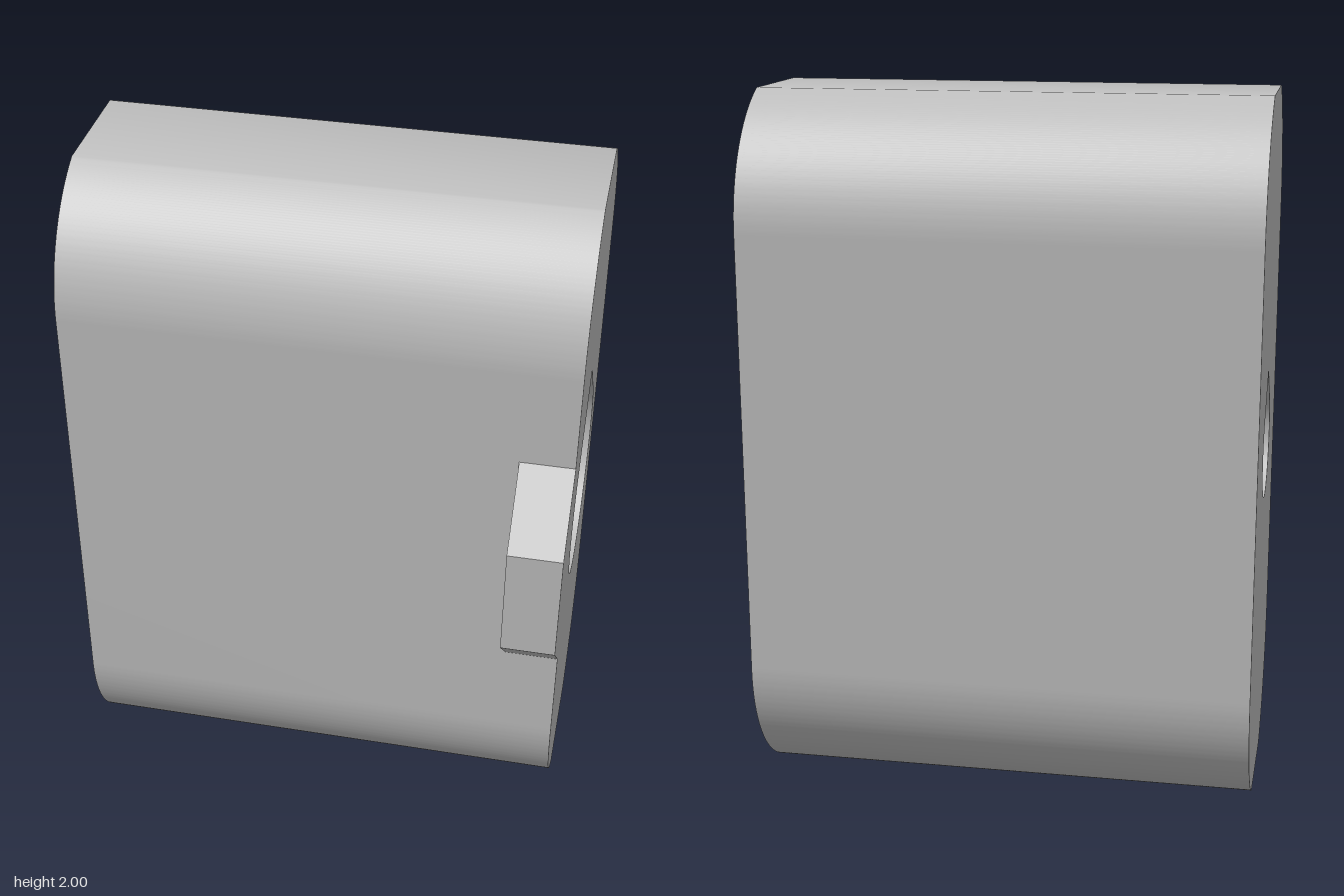
import * as THREE from 'three';
import { toCreasedNormals } from 'three/addons/utils/BufferGeometryUtils.js';

const LEFT = 0.712, RIGHT = -0.712, STEP = -0.15, TAB = 0.56; // stations along x
const C = 0.09, HALF = 0.41, FLAT = 0.17;                     // cross-section, drawn with u = -z

const rise = Math.sqrt(HALF * HALF - FLAT * FLAT);
const tilt = Math.acos(FLAT / HALF);

// Counter-clockwise slab outline with truncated round ends, optionally with the tab
function outline(withTab) {
  const s = new THREE.Shape();
  s.absarc(C, rise, HALF, -tilt, 0, false);
  s.absarc(C, 2 - rise, HALF, 0, tilt, false);
  s.absarc(C, 2 - rise, HALF, Math.PI - tilt, Math.PI, false);
  if (withTab) tabPoints().forEach(p => s.lineTo(p.x, p.y));
  s.absarc(C, rise, HALF, Math.PI, Math.PI + tilt, false);
  s.closePath();
  return s;
}

function tabPoints() {
  return [[-0.32, 1.347], [-0.5, 1.168], [-0.5, 0.836], [-0.32, 0.657]]
    .map(([u, y]) => new THREE.Vector2(u, y));
}

// Clockwise teardrop with a 45 degree roof
function teardrop(r) {
  const s = new THREE.Shape();
  s.absarc(C, 1, r, Math.PI / 4, 3 * Math.PI / 4, true);
  s.lineTo(C, 1 + r * Math.SQRT2);
  s.closePath();
  return s;
}

// Open wall following a line of points between two stations
function wall(points, from, to) {
  const pos = [];
  for (let i = 0; i < points.length - 1; i++) {
    const a = points[i], b = points[i + 1];
    if (a.distanceTo(b) < 1e-6) continue;
    pos.push(a.x, a.y, from, b.x, b.y, from, b.x, b.y, to);
    pos.push(a.x, a.y, from, b.x, b.y, to, a.x, a.y, to);
  }
  const g = new THREE.BufferGeometry();
  g.setAttribute('position', new THREE.Float32BufferAttribute(pos, 3));
  return toCreasedNormals(g, Math.PI / 7);
}

// Flat face at a station, facing +1 or -1 along the length
function face(shape, at, dir, hole) {
  if (hole) shape.holes.push(hole);
  const g = new THREE.ShapeGeometry(shape, 32);
  g.translate(0, 0, at);
  if (dir < 0) {
    g.index.array.reverse();
    const n = g.attributes.normal;
    for (let i = 0; i < n.count; i++) n.setZ(i, -1);
  }
  return g;
}

export function createModel() {
  const grey = new THREE.MeshStandardMaterial({ color: 0xc0c0c0 });
  grey.name = 'grey';
  const group = new THREE.Group();
  group.name = 'slidingBlock';
  const add = (name, geometry) => {
    geometry.rotateY(Math.PI / 2);
    const mesh = new THREE.Mesh(geometry, grey);
    mesh.name = name;
    group.add(mesh);
  };
  const big = 0.278, small = 0.153;

  // Slab body and its end faces
  add('bodyWall', wall(outline(false).getPoints(32), RIGHT, LEFT));
  add('leftEnd', face(outline(true), LEFT, 1, teardrop(big)));
  add('rightEnd', face(outline(false), RIGHT, -1, teardrop(small)));

  // Stepped teardrop bore
  add('wideBore', wall(teardrop(big).getPoints(32), STEP, LEFT));
  add('boreStep', face(teardrop(big), STEP, 1, teardrop(small)));
  add('narrowBore', wall(teardrop(small).getPoints(32), RIGHT, STEP));

  // Bevelled tab at the left end
  add('tabWall', wall(tabPoints(), TAB, LEFT));
  add('tabBack', face(new THREE.Shape(tabPoints()), TAB, -1));
  return group;
}
